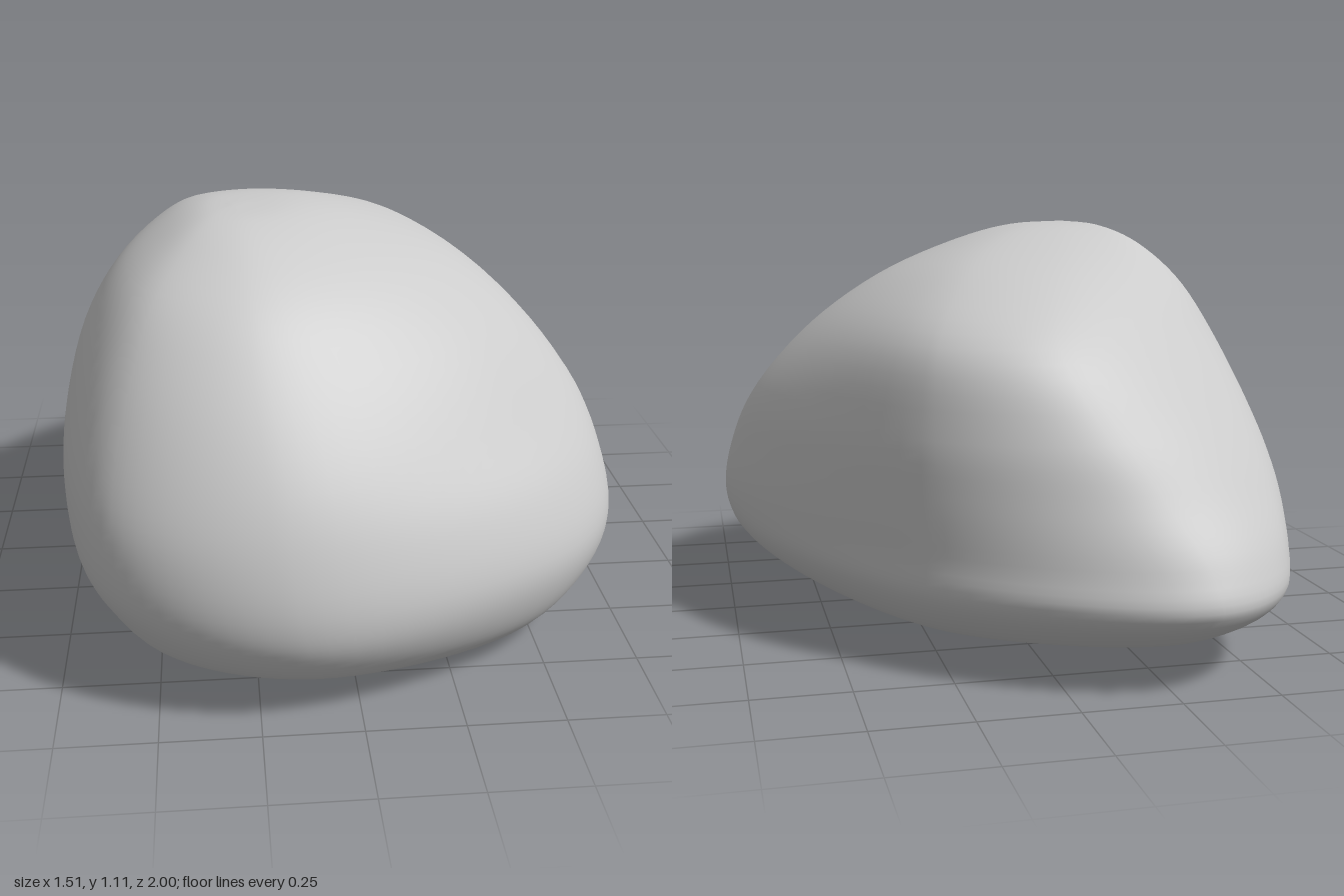
import * as THREE from 'three';

// One horizontal outline: eight x,z pairs, running +x, +z, -x, -z
const ring = (y, xz) =>
  Array.from({ length: 8 }, (_, i) => new THREE.Vector3(xz[2 * i], y, xz[2 * i + 1]));

// Outline part way between two others, or between an outline and a pole
const blend = (a, b, t, y) =>
  a.map((p, i) => p.clone().lerp(Array.isArray(b) ? b[i] : b, t).setY(y));

function stoneGeometry(levels = 64, around = 96) {
  const bottom = new THREE.Vector3(0, 0, 0.25);
  const top = new THREE.Vector3(-0.27, 1.106, 0.17);
  const base = ring(0.04, [0.48, 0.31, 0.43, 0.635, -0.08, 0.8, -0.4, 0.66, -0.46, 0.18, -0.455, -0.48, -0.27, -0.65, 0.2, -0.47]);
  const rim = ring(0.2, [0.73, 0.33, 0.565, 0.69, -0.13, 0.985, -0.56, 0.81, -0.69, 0.15, -0.6, -0.8, -0.32, -1, 0.305, -0.67]);
  const crown = ring(1.05, [0.08, 0.09, -0.02, 0.34, -0.25, 0.465, -0.41, 0.39, -0.46, 0.15, -0.4, -0.12, -0.18, -0.21, 0.02, -0.13]);
  const rings = [
    blend(base, bottom, 0.5, 0.008),
    base,
    blend(base, rim, 0.62, 0.1),
    rim,
    ring(0.3, [0.755, 0.33, 0.575, 0.695, -0.15, 1, -0.61, 0.82, -0.735, 0.15, -0.6, -0.79, -0.3, -0.97, 0.305, -0.67]),
    ring(0.45, [0.73, 0.3, 0.54, 0.655, -0.17, 0.97, -0.62, 0.81, -0.757, 0.15, -0.6, -0.69, -0.21, -0.89, 0.31, -0.66]),
    ring(0.6, [0.67, 0.24, 0.46, 0.59, -0.18, 0.905, -0.61, 0.755, -0.74, 0.12, -0.57, -0.58, -0.12, -0.82, 0.31, -0.64]),
    ring(0.8, [0.51, 0.15, 0.34, 0.49, -0.21, 0.77, -0.56, 0.655, -0.68, 0.12, -0.505, -0.42, -0.03, -0.7, 0.28, -0.58]),
    ring(0.95, [0.31, 0.07, 0.185, 0.4, -0.23, 0.63, -0.5, 0.535, -0.585, 0.13, -0.455, -0.28, -0.09, -0.48, 0.175, -0.38]),
    crown,
    blend(crown, top, 0.5, 1.095),
  ];

  // Smooth curves from pole to pole, one per outline corner
  const ribs = rings[0].map((_, i) =>
    new THREE.CatmullRomCurve3([bottom, ...rings.map((r) => r[i]), top]));

  // Skin: smooth closed loops across the ribs
  const pos = [];
  for (let l = 1; l < levels; l++) {
    const loop = new THREE.CatmullRomCurve3(ribs.map((r) => r.getPoint(l / levels)), true);
    for (let j = 0; j < around; j++) pos.push(...loop.getPoint(j / around).toArray());
  }
  const low = pos.length / 3, high = low + 1;
  pos.push(...bottom.toArray(), ...top.toArray());

  const index = [];
  const last = (levels - 2) * around;
  for (let j = 0; j < around; j++) {
    const k = (j + 1) % around;
    index.push(low, j, k, last + j, high, last + k);
    for (let o = 0; o < last; o += around) {
      index.push(o + j, o + around + j, o + k, o + k, o + around + j, o + around + k);
    }
  }

  const geo = new THREE.BufferGeometry();
  geo.setAttribute('position', new THREE.Float32BufferAttribute(pos, 3));
  geo.setIndex(index);
  geo.computeVertexNormals();
  return geo;
}

export function createModel() {
  const group = new THREE.Group();
  group.name = 'rock';
  const stone = new THREE.Mesh(
    stoneGeometry(),
    new THREE.MeshStandardMaterial({ color: 0xcccccc }));
  stone.name = 'stone';
  group.add(stone);
  return group;
}
